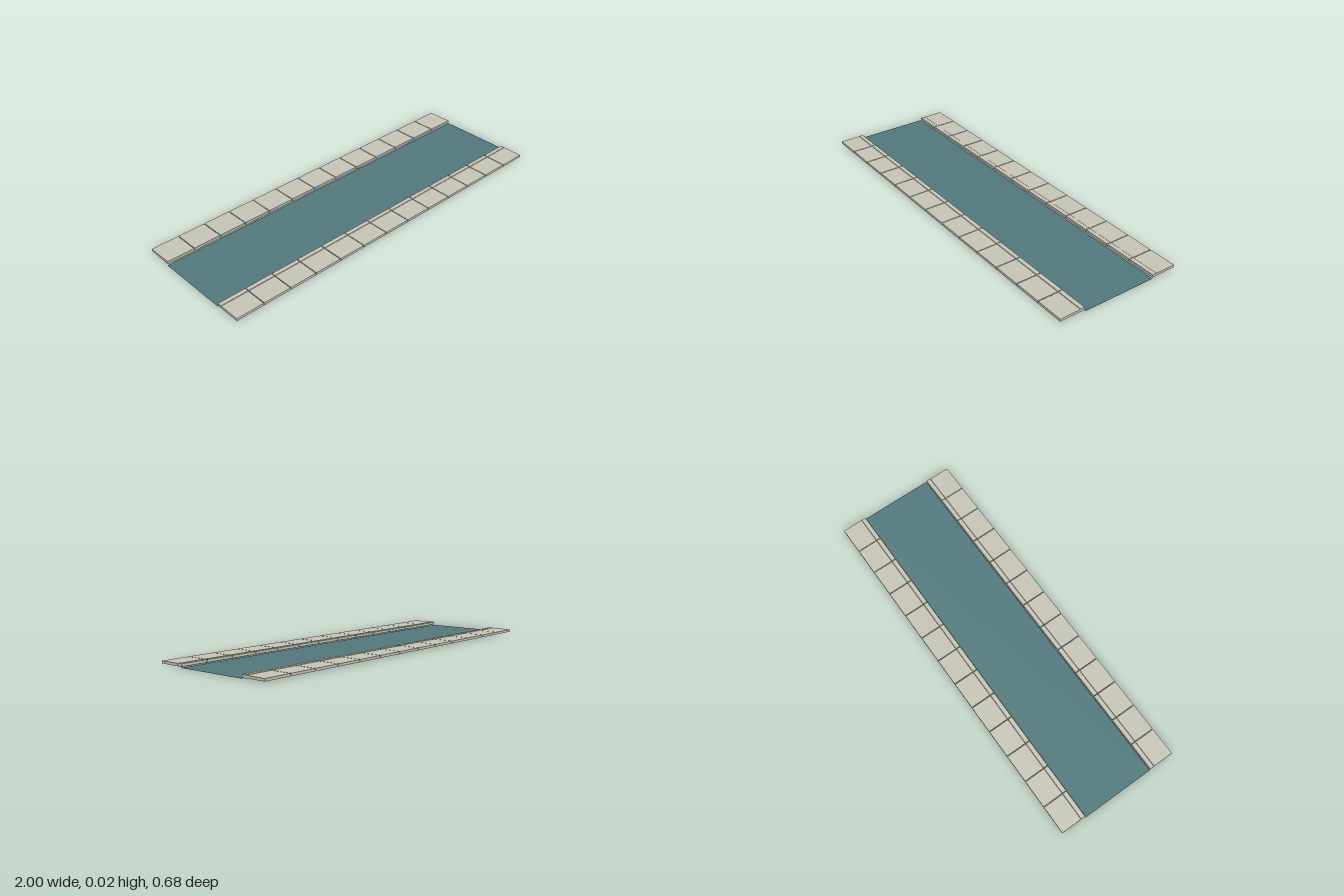
import * as THREE from 'three';

export function createModel() {
  const group = new THREE.Group();
  const surfaceMat = new THREE.MeshStandardMaterial({ color: 0x527a7e, side: THREE.DoubleSide });
  surfaceMat.name = 'teal surface';
  const stoneMat = new THREE.MeshStandardMaterial({ color: 0xc9c8ba });
  stoneMat.name = 'pale stone';

  // Flat central strip
  const strip = new THREE.Mesh(new THREE.PlaneGeometry(2, 0.4).rotateX(-Math.PI / 2), surfaceMat);
  strip.name = 'centralStrip';
  group.add(strip);

  const count = 13, pitch = 1.996 / count, length = pitch - 0.004;

  // Kerb block with chamfered long edges
  const w = 0.0125, h = 0.008, c = 0.0015;
  const profile = new THREE.Shape([
    [-w + c, -h], [w - c, -h], [w, -h + c], [w, h - c],
    [w - c, h], [-w + c, h], [-w, h - c], [-w, -h + c],
  ].map(([x, y]) => new THREE.Vector2(x, y)));
  const kerbGeo = new THREE.ExtrudeGeometry(profile, { depth: length, bevelEnabled: false });
  kerbGeo.translate(0, 0, -length / 2).rotateY(Math.PI / 2);
  const slabGeo = new THREE.BoxGeometry(length, 0.013, 0.112);

  // Rows of paving slabs and kerbs along both sides
  for (const [side, name] of [[1, 'front'], [-1, 'back']]) {
    const row = new THREE.Group();
    row.name = name + 'Pavement';
    for (let i = 0; i < count; i++) {
      const x = -0.998 + length / 2 + i * pitch + (side < 0 ? 0.003 : 0);
      const slab = new THREE.Mesh(slabGeo, stoneMat);
      slab.name = 'pavingSlab';
      slab.position.set(x, 0.0105, side * 0.283);
      const kerb = new THREE.Mesh(kerbGeo, stoneMat);
      kerb.name = 'kerbBlock';
      kerb.position.set(x, 0.0105, side * 0.2135);
      row.add(slab, kerb);
    }
    group.add(row);
  }
  return group;
}
